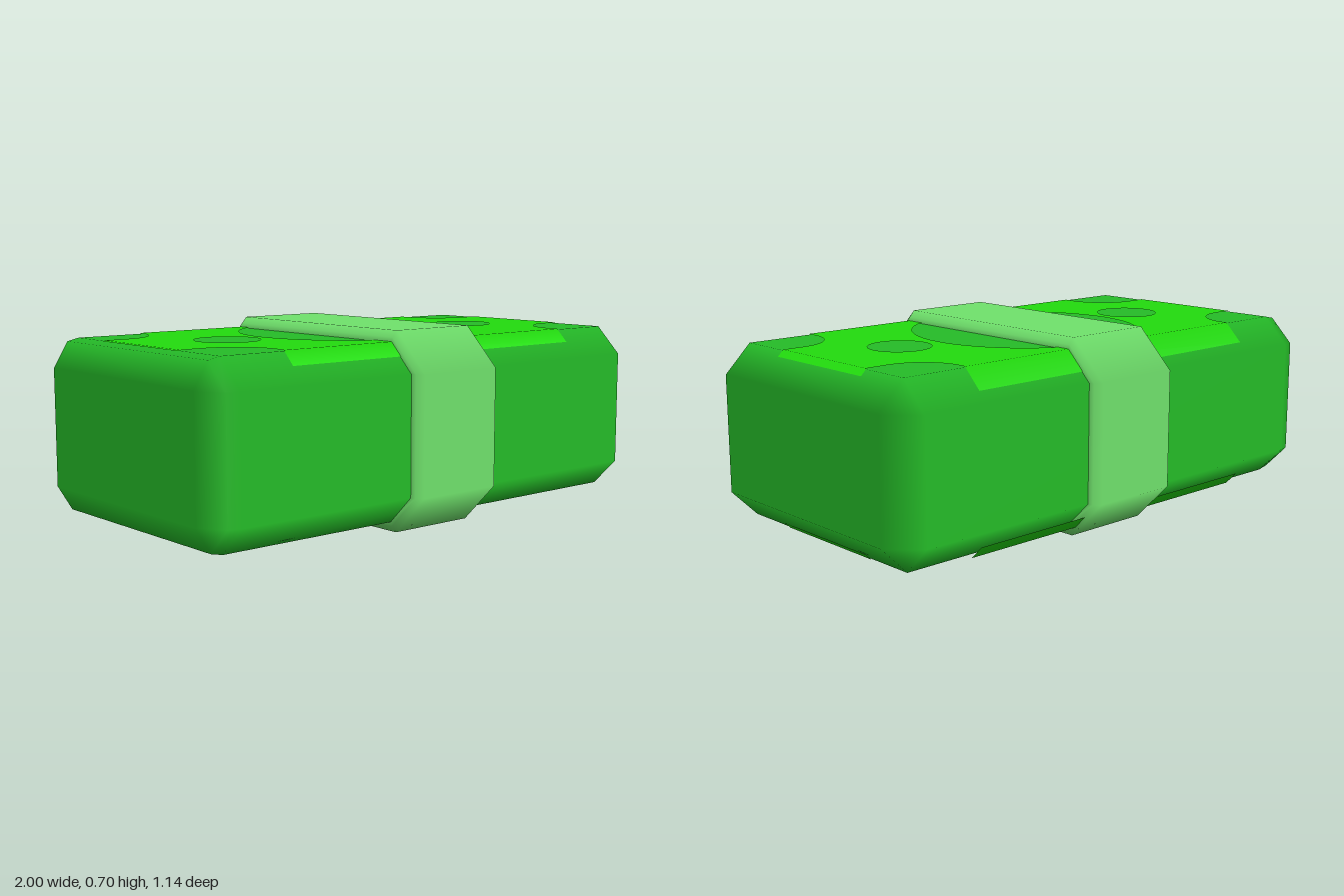
import * as THREE from 'three';

const MID_Y = 0.35; // height of the bundle's centre
const HALF_Z = 0.43, HALF_Y = 0.21; // half sizes of the flat faces in the cross-section

const noteGreen = new THREE.MeshStandardMaterial({ color: 0x25bc28 });
noteGreen.name = 'noteGreen';
const printGreen = new THREE.MeshStandardMaterial({ color: 0x22dc0e });
printGreen.name = 'printGreen';
const bandGreen = new THREE.MeshStandardMaterial({ color: 0x70e26c });
bandGreen.name = 'bandGreen';

function buildGeometry(positions, normals, indices) {
  const g = new THREE.BufferGeometry();
  g.setAttribute('position', new THREE.Float32BufferAttribute(positions, 3));
  g.setAttribute('normal', new THREE.Float32BufferAttribute(normals, 3));
  g.setIndex(indices);
  return g;
}

// Lofts chamfered rectangles along x. Ring: [x, chamfer, normal along x, normal outward].
// Flat faces keep flat normals, so only the chamfers shade softly.
function loft(rings, capped) {
  const pos = [], nor = [], idx = [];
  const corners = [[1, 1], [-1, 1], [-1, -1], [1, -1]];
  for (const [x, e, nx, nr] of rings) {
    corners.forEach(([sz, sy], k) => {
      const side = [x, sy * HALF_Y, sz * (HALF_Z + e), nx, 0, sz * nr];
      const flat = [x, sy * (HALF_Y + e), sz * HALF_Z, nx, sy * nr, 0];
      for (const v of k % 2 ? [flat, side] : [side, flat]) {
        pos.push(v[0], v[1], v[2]);
        nor.push(v[3], v[4], v[5]);
      }
    });
  }
  for (let j = 0; j < rings.length - 1; j++) {
    for (let i = 0; i < 8; i++) {
      const a = j * 8 + i, d = j * 8 + (i + 1) % 8;
      idx.push(a, a + 8, d + 8, a, d + 8, d);
    }
  }
  if (capped) {
    const n = (rings.length - 1) * 8;
    idx.push(0, 2, 4, 0, 4, 6, n, n + 4, n + 2, n, n + 6, n + 4);
  }
  return buildGeometry(pos, nor, idx);
}

// Printed area of the flat face, with round corner cut-outs and three round gaps
function printShape() {
  const s = new THREE.Shape();
  const P = Math.PI, x = 0.82, r = 0.165;
  s.moveTo(-0.655, 0.43);
  s.lineTo(0.655, 0.43);
  s.absarc(x, 0.41, r, P, 1.5 * P, false);
  s.lineTo(0.9, 0.245);
  s.lineTo(0.9, -0.22);
  s.absarc(x, -0.385, r, P / 2, P, false);
  s.lineTo(0.655, -0.43);
  s.lineTo(-0.655, -0.43);
  s.absarc(-x, -0.385, r, 0, P / 2, false);
  s.lineTo(-0.9, -0.22);
  s.lineTo(-0.9, 0.245);
  s.absarc(-x, 0.41, r, 1.5 * P, 2 * P, false);
  for (const [cx, cy, cr] of [[0.003, 0.012, 0.415], [-0.57, -0.005, 0.115], [0.575, -0.003, 0.11]]) {
    const hole = new THREE.Path();
    hole.absarc(cx, cy, cr, 0, 2 * P, true);
    s.holes.push(hole);
  }
  return s;
}

// Strip of print folded down over a chamfer: inner edge a-b, stepping out by (ox, oz) and down
function flap([ax, az], [bx, bz], ox, oz, drop) {
  const y = 0.31;
  const t = (Math.abs(ox) + Math.abs(oz)) / 0.1;
  const n = new THREE.Vector3(Math.sign(ox) * t, 1 - t, Math.sign(oz) * t).normalize().toArray();
  return buildGeometry(
    [ax, y, az, ax + ox, y - drop, az + oz, bx + ox, y - drop, bz + oz, bx, y, bz],
    [0, 1, 0, ...n, ...n, 0, 1, 0],
    [0, 1, 2, 0, 2, 3]
  );
}

function makePrint(name) {
  const group = new THREE.Group();
  group.name = name;
  const add = (geometry, part) => {
    const m = new THREE.Mesh(geometry, printGreen);
    m.name = part;
    m.position.y = 0.003;
    group.add(m);
  };
  const face = new THREE.ShapeGeometry(printShape(), 32);
  face.rotateX(-Math.PI / 2);
  face.translate(0, 0.31, 0);
  add(face, 'printFace');
  const w = 0.655;
  add(flap([-w, 0.43], [w, 0.43], 0, 0.047, 0.047), 'printFrontFold');
  add(flap([w, -0.43], [-w, -0.43], 0, -0.068, 0.068), 'printBackFold');
  add(flap([0.9, 0.22], [0.9, -0.245], 0.022, 0, 0.022), 'printLeftFold');
  add(flap([-0.9, -0.245], [-0.9, 0.22], -0.012, 0, 0.003), 'printRightFold');
  return group;
}

export function createModel() {
  const model = new THREE.Group();
  model.name = 'banknoteBundle';

  // Stack of notes
  const stack = new THREE.Mesh(loft([
    [-1, 0, -1, 0], [-0.945, 0.09, -0.6, 0.8], [-0.9, 0.1, 0, 1],
    [0.9, 0.1, 0, 1], [1, 0, 1, 0]
  ], true), noteGreen);
  stack.name = 'noteStack';
  stack.position.y = MID_Y;

  // Paper band around the middle
  const band = new THREE.Mesh(loft([
    [-0.197, 0.095, -1, 0], [-0.19, 0.117, -0.8, 0.6], [-0.17, 0.14, 0, 1],
    [0.17, 0.14, 0, 1], [0.19, 0.117, 0.8, 0.6], [0.197, 0.095, 1, 0]
  ], false), bandGreen);
  band.name = 'paperBand';
  band.position.y = MID_Y;

  // Printed faces above and below
  const top = makePrint('topPrint');
  top.position.y = MID_Y;
  const bottom = makePrint('bottomPrint');
  bottom.rotation.x = Math.PI;
  bottom.position.set(0, MID_Y, -0.025);

  model.add(stack, band, top, bottom);
  return model;
}
